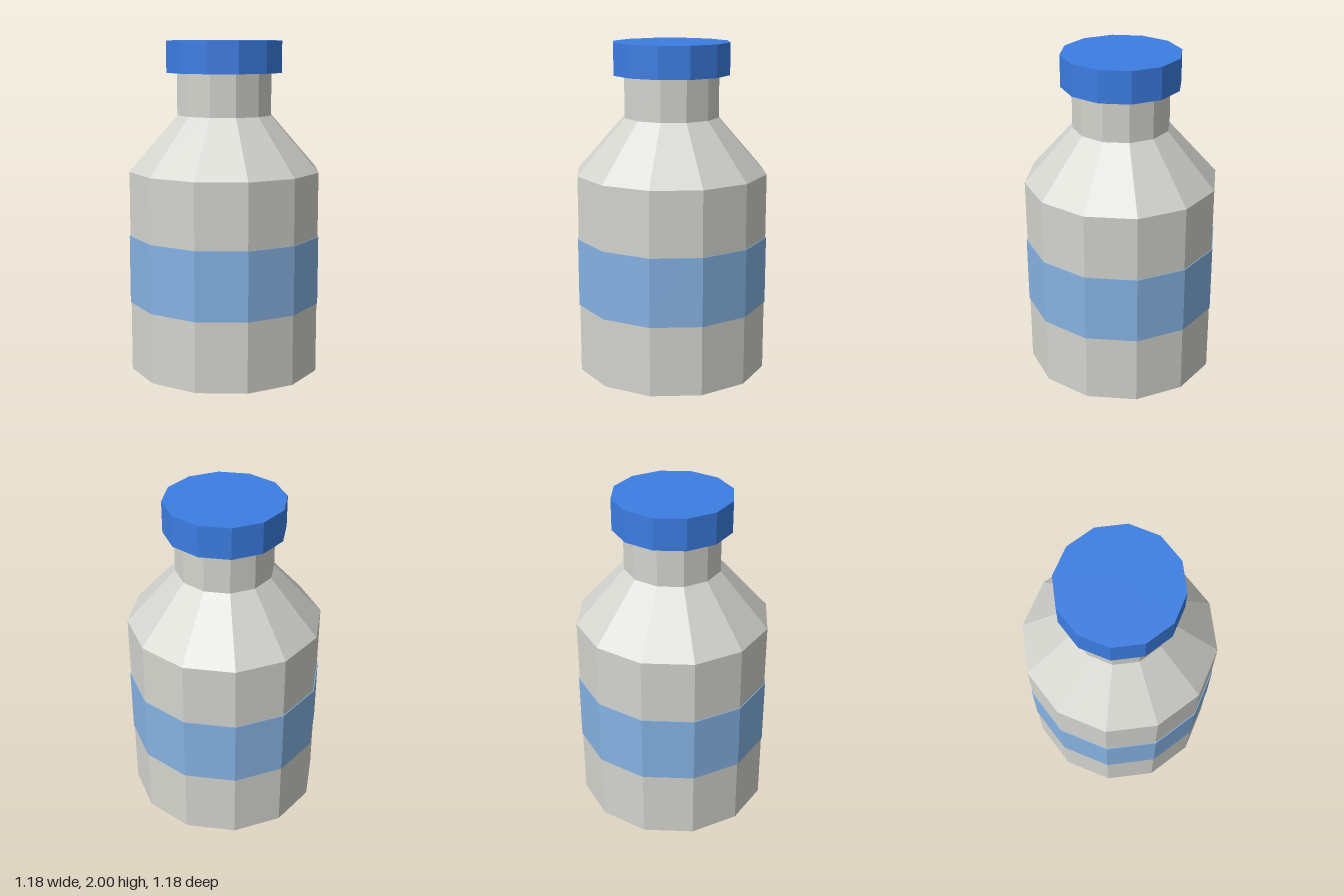
import * as THREE from 'three';

const SIDES = 12;

export function createModel() {
  const group = new THREE.Group();
  group.name = 'bottle';

  const flat = (name, color) => {
    const m = new THREE.MeshStandardMaterial({ color, flatShading: true });
    m.name = name;
    return m;
  };
  const glass = flat('pale grey', 0xd3d4ce);
  const label = flat('light blue', 0x86b2e2);
  const blue = flat('bright blue', 0x3c7de2);

  // Twelve-sided section running from y0 (radius r0) up to y1 (radius r1)
  const section = (name, material, y0, y1, r0, r1, open = false) => {
    const geometry = new THREE.CylinderGeometry(r1, r0, y1 - y0, SIDES, 1, open);
    const mesh = new THREE.Mesh(geometry, material);
    mesh.name = name;
    mesh.position.y = (y0 + y1) / 2;
    group.add(mesh);
  };

  // Bottle
  section('body', glass, 0, 1.225, 0.583, 0.583);
  section('shoulder', glass, 1.225, 1.558, 0.583, 0.29, true);
  section('neck', glass, 1.558, 1.81, 0.29, 0.29, true);

  // Label wrapped around the body, just proud of it
  section('labelBand', label, 0.424, 0.836, 0.588, 0.588);

  // Screw cap
  section('cap', blue, 1.81, 2, 0.354, 0.354);

  return group;
}
